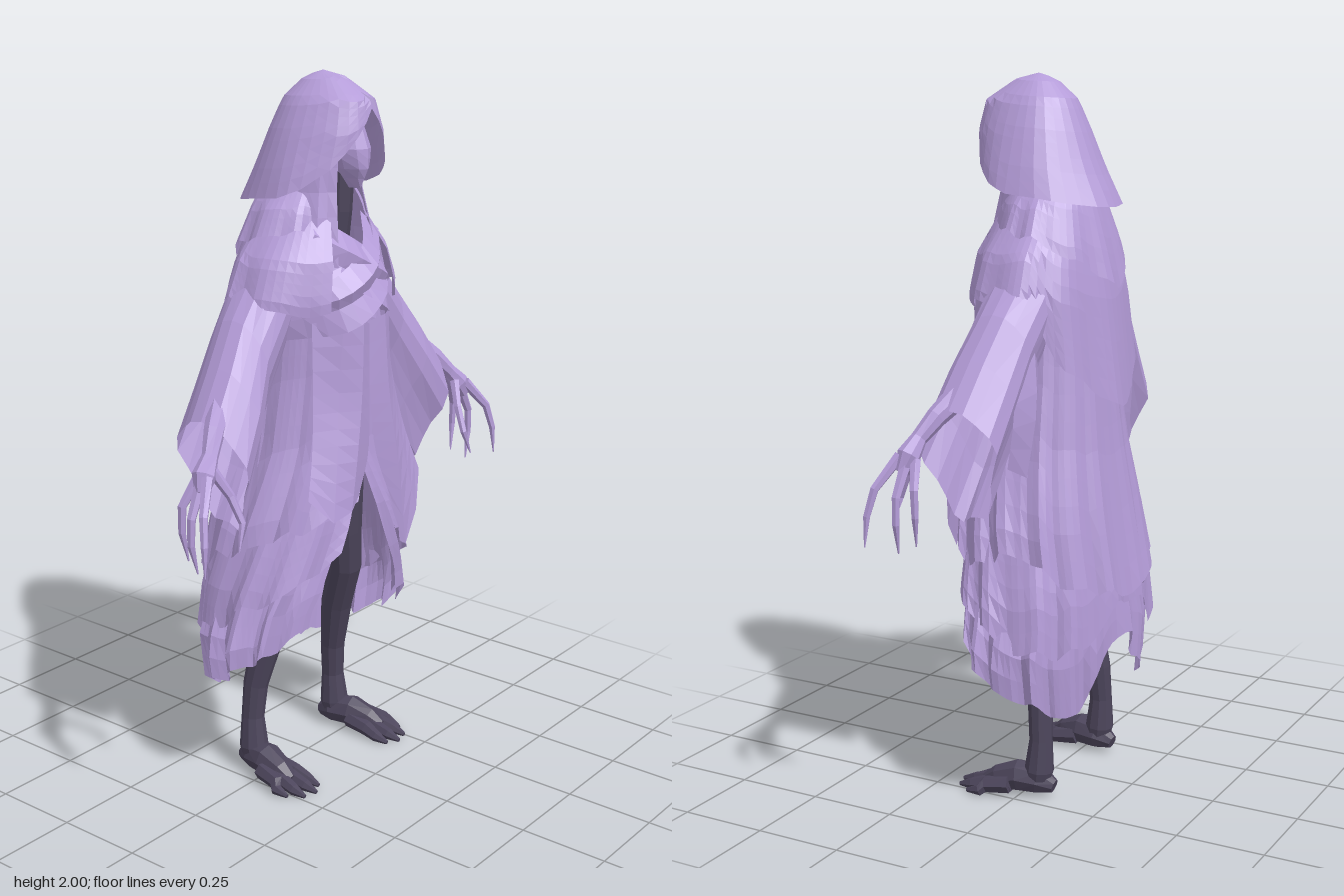
import * as THREE from 'three';

const clothMat = new THREE.MeshStandardMaterial({ color: 0xb49cd8, side: THREE.DoubleSide });
clothMat.name = 'lilac cloth';
const skinMat = new THREE.MeshStandardMaterial({ color: 0xb49cd8 });
skinMat.name = 'lilac skin';
const darkMat = new THREE.MeshStandardMaterial({ color: 0x4c455b });
darkMat.name = 'dark flesh';

// Faceted surface from rows of points
function grid(rows) {
  const pos = [], idx = [], n = rows[0].length;
  rows.forEach(r => r.forEach(p => pos.push(p.x, p.y, p.z)));
  for (let i = 0; i < rows.length - 1; i++) {
    for (let j = 0; j < n - 1; j++) {
      const a = i * n + j;
      idx.push(a, a + 1, a + n, a + 1, a + n + 1, a + n);
    }
  }
  const g = new THREE.BufferGeometry();
  g.setAttribute('position', new THREE.Float32BufferAttribute(pos, 3));
  g.setIndex(idx);
  const flat = g.toNonIndexed();
  flat.computeVertexNormals();
  return flat;
}

function add(parent, name, geo, mat) {
  const m = new THREE.Mesh(geo, mat);
  m.name = name;
  parent.add(m);
  return m;
}

const V = (x, y, z) => new THREE.Vector3(x, y, z);
const mirrorHem = h => [...h, ...h.slice(1, -1).reverse()];

// Hem height around the body; u = 0 front, 0.25 left, 0.5 back
function around(list, u) {
  const f = u * list.length, i = Math.floor(f), k = f - i, n = list.length;
  return THREE.MathUtils.lerp(list[i % n], list[(i + 1) % n], k * k * (3 - 2 * k));
}

// Profile rows are [y, half width, front depth, back depth], from the top down
function profileAt(p, y) {
  let i = 0;
  while (i < p.length - 2 && y < p[i + 1][0]) i++;
  const k = THREE.MathUtils.clamp((p[i][0] - y) / (p[i][0] - p[i + 1][0]), 0, 1);
  return p[i].map((v, c) => THREE.MathUtils.lerp(v, p[i + 1][c], k));
}

// Draped layer round the body, with pleats, an uneven hem and a front opening
function cloth({ profile, hem, cz = 0, n = 48, rows = 9, pleat = 0, count = 12, phase = 0, jag = 0, ease = 1, square = 1, open = () => 0 }) {
  const top = profile[0][0], out = [];
  for (let i = 0; i <= rows; i++) {
    const t = Math.pow(i / rows, ease), row = [];
    for (let j = 0; j <= n; j++) {
      const u = 1 - j / n;
      const wave = Math.sin(u * Math.PI * 2 * count + phase) + 0.5 * Math.sin(u * Math.PI * 2 * (count * 2 - 5) + 1);
      const y = top + (around(hem, u) + jag * wave - top) * t;
      const o = open(y), a = o + (Math.PI * 2 - 2 * o) * u;
      const [, rx, zf, zb] = profileAt(profile, y);
      const s = Math.sin(a), c = Math.cos(a), f = 1 + pleat * wave * t;
      const curve = v => Math.sign(v) * Math.pow(Math.abs(v), square);
      row.push(V(curve(s) * rx * f, y, cz + curve(c) * (c > 0 ? zf : zb) * f));
    }
    out.push(row);
  }
  return grid(out);
}

// Tapered limb through [x, y, z, radius] points
function limb(pts, sides = 8) {
  const v = pts.map(p => V(p[0], p[1], p[2]));
  const main = v[v.length - 1].clone().sub(v[0]).normalize();
  const ref = Math.abs(main.z) > 0.7 ? V(1, 0, 0) : V(0, 0, 1);
  const ring = (i, r) => {
    const T = v[Math.min(i + 1, v.length - 1)].clone().sub(v[Math.max(i - 1, 0)]).normalize();
    const N = ref.clone().addScaledVector(T, -ref.dot(T)).normalize();
    const B = T.clone().cross(N), row = [];
    for (let j = 0; j <= sides; j++) {
      const a = j / sides * Math.PI * 2;
      row.push(v[i].clone().addScaledVector(N, Math.cos(a) * r).addScaledVector(B, Math.sin(a) * r));
    }
    return row;
  };
  return grid([ring(0, 0), ...pts.map((p, i) => ring(i, p[3])), ring(v.length - 1, 0)]);
}

// Cloth panel stretched between smooth edge curves
function panel(edges, n = 10) {
  return grid(edges.map(e => new THREE.CatmullRomCurve3(e.map(p => V(...p))).getPoints(n)));
}

function sleeve() {
  // Each ring: top x, y, bottom x, y, centre z, half depth
  const rings = [[.17, 1.57, .1, 1.36, 0, .09], [.25, 1.47, .17, 1.22, 0, .095], [.33, 1.38, .25, 1.09, .01, .09],
    [.41, 1.27, .31, .96, .03, .1], [.495, 1.15, .385, .83, .045, .105]];
  const n = 20;
  return grid(rings.map(([tx, ty, bx, by, zc, zw], i) => {
    const row = [];
    for (let j = 0; j <= n; j++) {
      const a = -j / n * Math.PI * 2, f = 1 + 0.03 * i * Math.sin(a * 5 + 1);
      const k = Math.cos(a) * (Math.cos(a) < 0 ? f : 1) / 2;
      row.push(V((tx + bx) / 2 + (tx - bx) * k, (ty + by) / 2 + (ty - by) * k,
        zc + Math.sin(a) * zw * f * (1 + 0.3 * Math.cos(a))));
    }
    return row;
  }));
}

export function createModel() {
  const model = new THREE.Group();
  model.name = 'hoodedFigure';

  // Head: hood, pointed mask and dark neck
  add(model, 'hood', cloth({
    cz: .05, rows: 12, n: 32, ease: 1.5, pleat: .012, count: 7,
    profile: [[2, 0, 0, 0], [1.985, .045, .065, .05], [1.93, .1, .155, .11], [1.85, .138, .172, .145], [1.75, .175, .165, .185], [1.65, .205, .14, .235]],
    hem: mirrorHem([1.91, 1.84, 1.76, 1.71, 1.685, 1.675, 1.66, 1.65, 1.645]),
  }), clothMat);
  add(model, 'mask', cloth({
    cz: .1, rows: 8, n: 12, hem: [1.7],
    profile: [[1.91, 0, 0, 0], [1.87, .045, .075, .04], [1.8, .065, .1, .05], [1.75, .042, .1, .03], [1.7, .006, .075, -.06]],
  }), clothMat);
  add(model, 'neck', limb([[0, 1.84, .08, .05], [0, 1.74, .1, .045], [0, 1.64, .1, .04], [0, 1.5, .06, .06]]), darkMat);
  add(model, 'cowl', cloth({
    cz: .02, n: 28, rows: 5, pleat: .05, count: 9, hem: [1.5], open: y => .42 + (1.82 - y) * .3,
    profile: [[1.82, .11, .13, .1], [1.7, .12, .13, .11], [1.5, .17, .17, .13]],
  }), clothMat);

  // Shoulder capes
  add(model, 'upperCape', cloth({
    pleat: .025, count: 9, jag: .006, rows: 7, open: () => .5,
    profile: [[1.74, .09, .1, .1], [1.65, .175, .13, .135], [1.55, .225, .15, .165], [1.43, .25, .16, .195]],
    hem: mirrorHem([1.6, 1.59, 1.57, 1.51, 1.43]),
  }), clothMat);
  add(model, 'backCape', cloth({
    pleat: .03, count: 8, jag: .008, phase: 2, open: () => .5,
    profile: [[1.63, .15, .15, .13], [1.52, .245, .2, .15], [1.42, .285, .21, .17], [1.1, .3, .2, .21]],
    hem: mirrorHem([1.38, 1.4, 1.42, 1.2, 1.1]),
  }), clothMat);

  // Crossed chest wraps
  const wrap = (s, dz, dy) => panel([
    [[.1, 1.62, .1], [0, 1.54, .18], [-.12, 1.47, .17], [-.2, 1.42, .06]],
    [[.13, 1.57, .14], [.01, 1.49, .225], [-.11, 1.43, .21], [-.2, 1.39, .08]],
    [[.15, 1.53, .13], [.02, 1.45, .21], [-.1, 1.4, .2], [-.2, 1.36, .08]],
    [[.18, 1.48, .12], [.04, 1.41, .235], [-.09, 1.34, .225], [-.19, 1.31, .08]],
  ].map(e => e.map(([x, y, z]) => [x * s, y + dy, z + dz])));
  add(model, 'outerChestWrap', wrap(1, 0, 0), clothMat);
  add(model, 'innerChestWrap', wrap(-1, -.015, .02), clothMat);

  // Robe layers, split at the front
  const split = y => THREE.MathUtils.clamp((1 - y) * 1.25, 0, .55);
  add(model, 'overRobe', cloth({
    n: 72, rows: 12, pleat: .035, count: 14, jag: .012, square: .9, open: split,
    profile: [[1.52, .15, .15, .12], [1.35, .18, .2, .145], [1.2, .195, .2, .165], [1, .235, .2, .185], [.8, .305, .235, .215], [.58, .345, .24, .25]],
    hem: [.85, .68, .73, .63, .58, .61, .71, .79],
  }), clothMat);
  add(model, 'middleSkirt', cloth({
    n: 72, pleat: .035, count: 11, phase: 1, jag: .015, square: .88, open: split,
    profile: [[1, .22, .18, .17], [.8, .28, .215, .195], [.6, .345, .225, .225], [.42, .37, .21, .235]],
    hem: [.7, .56, .47, .46, .56, .43, .5, .6],
  }), clothMat);
  add(model, 'underSkirt', cloth({
    n: 80, rows: 10, pleat: .045, count: 13, phase: 3, jag: .012, square: .88, open: split,
    profile: [[1, .2, .16, .15], [.8, .25, .19, .175], [.6, .32, .195, .19], [.45, .37, .175, .205], [.25, .335, .15, .2]],
    hem: [.5, .4, .33, .26, .44, .27, .34, .42],
  }), clothMat);

  // Pointed panels hanging from the waist
  add(model, 'rightFrontPanel', panel([
    [[0, 1.34, .21], [-.01, 1.15, .22], [-.02, .98, .225], [-.08, .88, .24]],
    [[-.05, 1.36, .23], [-.07, 1.15, .24], [-.1, 1, .25], [-.13, .85, .255]],
    [[-.1, 1.36, .2], [-.12, 1.15, .2], [-.15, 1, .22], [-.19, .83, .24]],
    [[-.16, 1.36, .14], [-.18, 1.15, .16], [-.21, 1, .18], [-.25, .9, .2]],
  ]), clothMat);
  add(model, 'leftFrontPanel', panel([
    [[-.02, 1.34, .2], [0, 1.15, .215], [.02, .98, .22], [.08, .82, .235]],
    [[.05, 1.36, .225], [.06, 1.15, .235], [.09, .95, .245], [.13, .68, .25]],
    [[.1, 1.36, .2], [.12, 1.15, .2], [.15, .98, .215], [.2, .76, .235]],
    [[.16, 1.36, .14], [.18, 1.15, .16], [.21, 1, .18], [.26, .86, .2]],
  ]), clothMat);

  // Finger paths and radius, base to claw
  const fingers = [
    [[.58, 1.04, .14], [.64, .96, .18], [.655, .89, .195], [.66, .81, .2]],
    [[.58, 1.03, .12], [.625, .94, .125], [.628, .87, .125], [.61, .79, .13]],
    [[.57, 1.03, .1], [.61, .96, .08], [.61, .89, .078], [.595, .81, .085]],
    [[.55, 1.06, .12], [.515, .98, .16], [.505, .91, .19], [.53, .84, .2]],
  ];
  const fingerR = [.016, .012, .01, .002];

  // Arms and legs, built once and mirrored
  for (const s of [1, -1]) {
    const side = new THREE.Group();
    side.name = s > 0 ? 'leftLimbs' : 'rightLimbs';
    side.scale.x = s;
    model.add(side);
    add(side, 'sleeve', sleeve(), clothMat);
    // Loose fold under the sleeve
    add(side, 'sleeveTail', panel([
      [[.22, 1.34, -.06], [.23, 1.18, -.07], [.25, 1.02, -.06]],
      [[.27, 1.32, -.08], [.29, 1.14, -.1], [.31, .95, -.08]],
      [[.33, 1.3, -.06], [.36, 1.12, -.07], [.36, .98, -.05]],
    ], 5), clothMat);
    add(side, 'arm', limb([[.24, 1.4, 0, .05], [.38, 1.22, .03, .04], [.49, 1.13, .085, .028], [.535, 1.08, .11, .022], [.57, 1.04, .12, .032], [.59, 1, .13, .018]]), skinMat);
    for (const f of fingers) add(side, 'finger', limb(f.map((p, i) => [...p, fingerR[i]]), 6), skinMat);
    add(side, 'leg', limb([[.07, 1.05, .03, .075], [.095, .85, .045, .065], [.115, .68, .04, .052], [.135, .56, .03, .048],
      [.16, .42, -.02, .046], [.18, .27, -.05, .036], [.188, .17, -.055, .033], [.19, .08, -.05, .042], [.19, .04, -.045, .035]], 10), darkMat);
    add(side, 'foot', limb([[.185, .035, -.095, .02], [.188, .05, -.05, .042], [.2, .055, .01, .046], [.21, .04, .07, .036], [.215, .025, .11, .02]]), darkMat);
    for (const [x, tx, tz] of [[.175, .165, .17], [.2, .2, .19], [.225, .24, .18], [.24, .27, .14]]) {
      add(side, 'toe', limb([[x, .04, .02, .026], [(x + tx) / 2, .03, .09, .022], [tx, .018, tz - .04, .017], [tx, .01, tz, .006]], 6), darkMat);
    }
  }
  return model;
}
